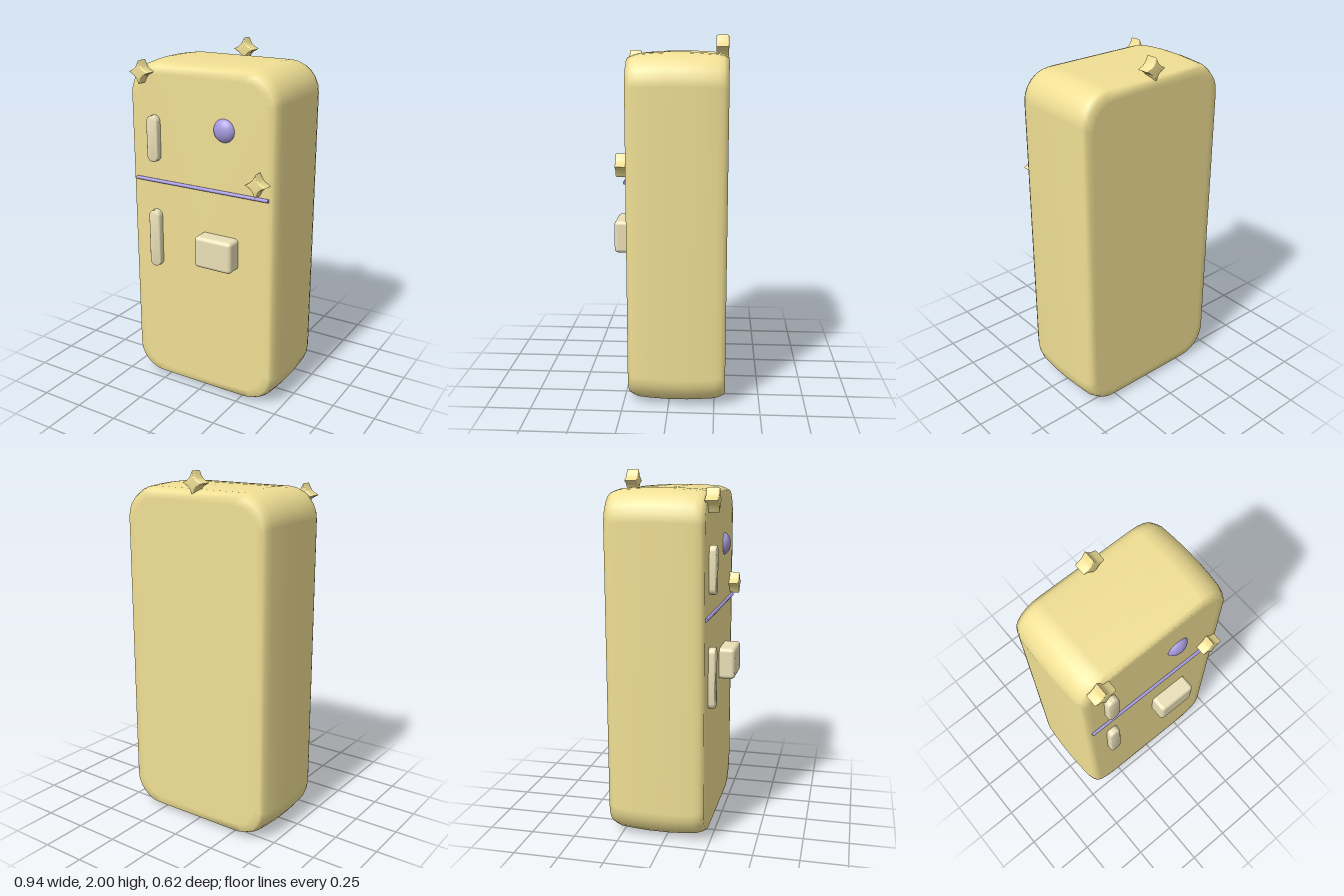
import * as THREE from 'three';
import { RoundedBoxGeometry } from 'three/addons/geometries/RoundedBoxGeometry.js';
import { toCreasedNormals } from 'three/addons/utils/BufferGeometryUtils.js';

const yellow = new THREE.MeshStandardMaterial({ color: 0xf0df94 });
const cream = new THREE.MeshStandardMaterial({ color: 0xeae0b8 });
const purple = new THREE.MeshStandardMaterial({ color: 0xa79be0 });

// Rounded-rectangle cross-section, counter-clockwise seen from the front
function section(halfW, halfH, radius, steps = 6) {
  const points = [];
  for (let q = 0; q < 4; q++) {
    const sx = q === 0 || q === 3 ? 1 : -1, sy = q < 2 ? 1 : -1;
    for (let i = 0; i <= steps; i++) {
      const a = (q + i / steps) * Math.PI / 2;
      points.push([sx * (halfW - radius) + radius * Math.cos(a), sy * (halfH - radius) + radius * Math.sin(a)]);
    }
  }
  return points;
}

// Cabinet: sections lofted from back to front, swelling in the middle
function cabinetGeometry() {
  const rings = [ // [z, inset]
    [-0.31, 0.07], [-0.31, 0.029], [-0.285, 0.018], [-0.255, 0.009], [-0.18, 0.004], [-0.1, 0],
    [0.02, 0], [0.1, 0.004], [0.165, 0.009], [0.195, 0.018], [0.22, 0.031], [0.22, 0.07],
  ];
  const positions = [], index = [];
  let n = 0;
  for (const [z, inset] of rings) {
    const ring = section(0.468 - inset, 0.955 - inset, 0.17 - inset * 0.5);
    n = ring.length;
    for (const [x, y] of ring) positions.push(x, y + 0.96, z);
  }
  for (let r = 0; r < rings.length - 1; r++) {
    for (let i = 0; i < n; i++) {
      const a = r * n + i, b = r * n + (i + 1) % n;
      index.push(a, b, b + n, a, b + n, a + n);
    }
  }
  const back = positions.length / 3, last = (rings.length - 1) * n;
  positions.push(0, 0.96, -0.31, 0, 0.96, 0.22);
  for (let i = 0; i < n; i++) {
    const j = (i + 1) % n;
    index.push(back, j, i, back + 1, last + i, last + j);
  }
  const geometry = new THREE.BufferGeometry();
  geometry.setAttribute('position', new THREE.Float32BufferAttribute(positions, 3));
  geometry.setIndex(index);
  geometry.computeVertexNormals();
  return geometry;
}

// Four-pointed star with concave sides and softened rims, centred on the origin
function starGeometry() {
  const tip = 0.054, waist = 0.017, shape = new THREE.Shape();
  shape.moveTo(tip, 0);
  for (let k = 0; k < 4; k++) {
    const a = (k + 0.5) * Math.PI / 2, b = (k + 1) * Math.PI / 2;
    shape.quadraticCurveTo(waist * Math.cos(a), waist * Math.sin(a), tip * Math.cos(b), tip * Math.sin(b));
  }
  const geometry = new THREE.ExtrudeGeometry(shape, {
    depth: 0.054, bevelThickness: 0.008, bevelSize: 0.006, bevelSegments: 3, curveSegments: 8,
  });
  geometry.translate(0, 0, -0.027);
  return toCreasedNormals(geometry, 0.8);
}

// Upright handle with round ends
function handleGeometry(length) {
  const r = 0.027, h = length / 2 - 0.035, shape = new THREE.Shape();
  shape.absarc(0, h, r, 0, Math.PI);
  shape.absarc(0, -h, r, Math.PI, Math.PI * 2);
  shape.closePath();
  const geometry = new THREE.ExtrudeGeometry(shape, {
    depth: 0.039, bevelThickness: 0.008, bevelSize: 0.008, bevelSegments: 3, curveSegments: 12,
  });
  geometry.translate(0, 0, -0.02);
  return toCreasedNormals(geometry, 0.8);
}

export function createModel() {
  const model = new THREE.Group();
  const add = (name, geometry, material, x, y, z) => {
    const mesh = new THREE.Mesh(geometry, material);
    mesh.name = name;
    mesh.position.set(x, y, z);
    model.add(mesh);
    return mesh;
  };

  add('cabinet', cabinetGeometry(), yellow, 0, 0, 0);

  // Line between the two doors
  const seam = new THREE.CylinderGeometry(0.01, 0.01, 0.84, 12);
  seam.rotateZ(Math.PI / 2);
  add('doorSeam', seam, purple, 0, 1.25, 0.225);

  // Door furniture
  add('upperHandle', handleGeometry(0.26), cream, -0.29, 1.493, 0.23);
  add('lowerHandle', handleGeometry(0.34), cream, -0.29, 0.91, 0.23);
  add('roundMagnet', new THREE.SphereGeometry(0.065, 32, 20), purple, 0.15, 1.587, 0.21).scale.z = 0.68;
  add('dispenserBox', new RoundedBoxGeometry(0.23, 0.18, 0.12, 4, 0.022), cream, 0.125, 0.911, 0.25);

  // Star ornaments
  const star = starGeometry();
  add('cornerStar', star, yellow, -0.35, 1.855, 0.243);
  add('doorStar', star, yellow, 0.367, 1.333, 0.243);
  add('topStar', star, yellow, 0, 1.94, -0.275);

  return model;
}
